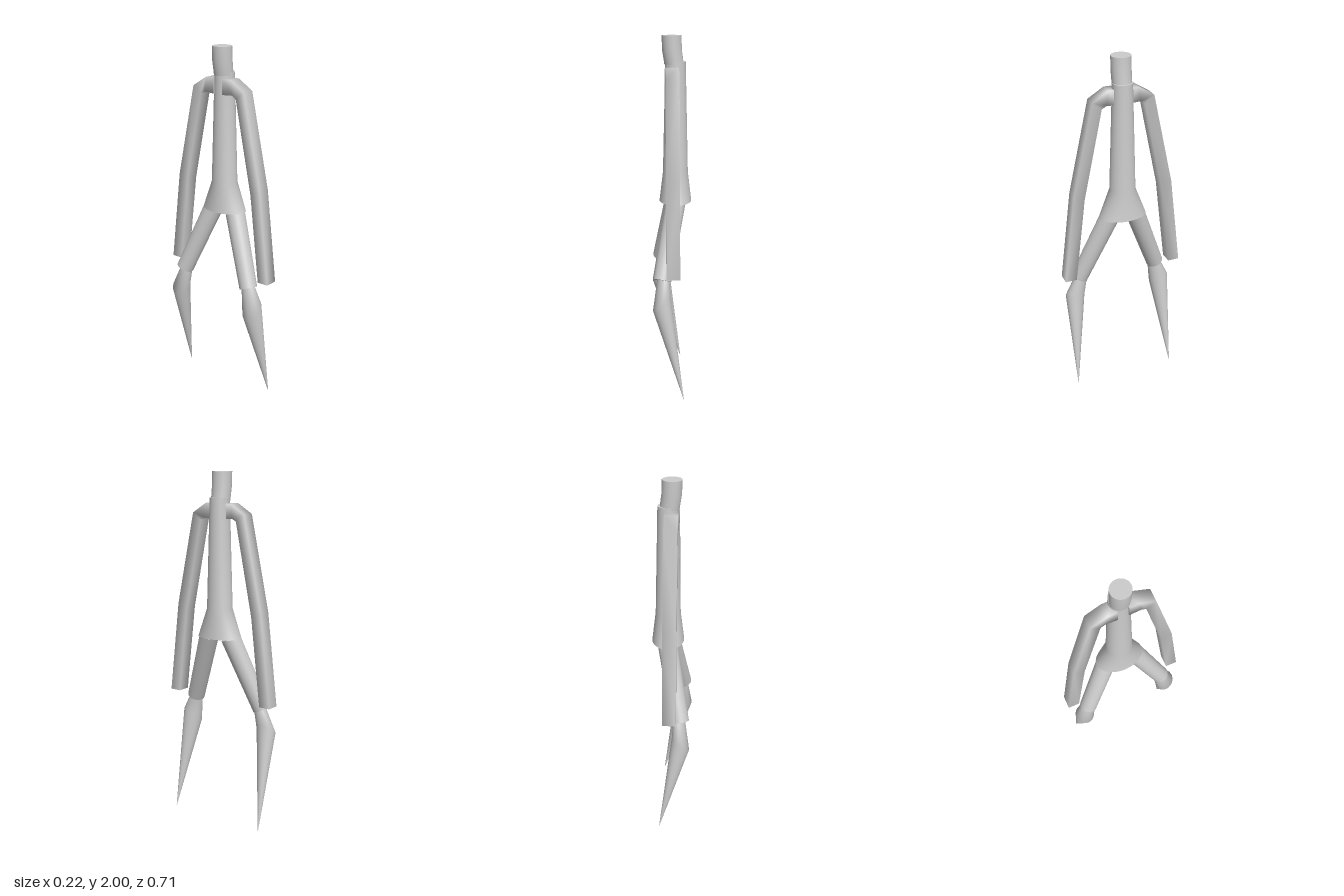
import * as THREE from 'three';

const material = new THREE.MeshStandardMaterial({ color: 0xcccccc, side: THREE.DoubleSide });
const V = (x, y, z) => new THREE.Vector3(x, y, z);

// Skin through rings {c, u, v}: each point is c + u cos(a) + v sin(a); both ends are capped flat.
function loft(name, rings, sides, startAngle = 0) {
  const pos = [], index = [];
  const addRing = ({ c, u, v }) => {
    const start = pos.length / 3;
    for (let i = 0; i < sides; i++) {
      const a = startAngle + (i / sides) * Math.PI * 2;
      const p = c.clone().addScaledVector(u, Math.cos(a)).addScaledVector(v, Math.sin(a));
      pos.push(p.x, p.y, p.z);
    }
    return start;
  };
  const starts = rings.map(addRing);
  // keep the outside facing out whichever way the rings run
  const along = rings[1].c.clone().sub(rings[0].c);
  const flip = rings[0].u.clone().cross(rings[0].v).dot(along) < 0;
  const tri = (a, b, c) => (flip ? index.push(a, c, b) : index.push(a, b, c));
  for (let r = 0; r < rings.length - 1; r++) {
    for (let i = 0; i < sides; i++) {
      const j = (i + 1) % sides, a = starts[r], b = starts[r + 1];
      tri(a + i, a + j, b + j);
      tri(a + i, b + j, b + i);
    }
  }
  const first = addRing(rings[0]), last = addRing(rings[rings.length - 1]);
  for (let i = 1; i < sides - 1; i++) {
    tri(first, first + i + 1, first + i);
    tri(last, last + i, last + i + 1);
  }
  const geometry = new THREE.BufferGeometry();
  geometry.setAttribute('position', new THREE.Float32BufferAttribute(pos, 3));
  geometry.setIndex(index);
  geometry.computeVertexNormals();
  const mesh = new THREE.Mesh(geometry, material);
  mesh.name = name;
  return mesh;
}

// Straight round limb between two points
function limb(name, from, to, r0, r1) {
  const mesh = new THREE.Mesh(new THREE.CylinderGeometry(r1, r0, from.distanceTo(to), 32), material);
  mesh.position.copy(from).lerp(to, 0.5);
  mesh.quaternion.setFromUnitVectors(V(0, 1, 0), to.clone().sub(from).normalize());
  mesh.name = name;
  return mesh;
}

// Level ellipse ring
const level = (x, y, rx, rz) => ({ c: V(x, y, 0), u: V(rx, 0, 0), v: V(0, 0, rz) });

// Square-section arm: each row is outer z, outer y, inner z, inner y
function arm(name, s) {
  const rows = [
    [0.03, 1.83, 0.03, 1.745],
    [0.085, 1.83, 0.095, 1.75],
    [0.175, 1.775, 0.122, 1.735],
    [0.29, 1.25, 0.228, 1.225],
    [0.353, 0.725, 0.287, 0.725],
  ];
  const k = Math.SQRT1_2;
  const rings = rows.map(([oz, oy, iz, iy]) => ({
    c: V(0, (oy + iy) / 2, (s * (oz + iz)) / 2),
    u: V(0.037 / k, 0, 0),
    v: V(0, (oy - iy) / 2 / k, (s * (oz - iz)) / 2 / k),
  }));
  return loft(name, rings, 4, Math.PI / 4);
}

// Lower leg: narrow knee, tilted calf ring, pointed foot
function shin(name, s) {
  return loft(name, [
    { c: V(-0.053, 0.695, s * 0.228), u: V(0.033, 0.01, 0), v: V(0, 0.01, s * 0.034) },
    { c: V(-0.062, 0.56, s * 0.268), u: V(0.049, 0.04, 0), v: V(0, 0.012, s * 0.056) },
    { c: V(0.06, 0, s * 0.303), u: V(0.001, 0, 0), v: V(0, 0, s * 0.001) },
  ], 24);
}

export function createModel() {
  const model = new THREE.Group();
  model.name = 'figure';

  // Head, leaning slightly
  model.add(loft('head', [
    level(0.012, 1.845, 0.053, 0.053),
    level(0.001, 1.92, 0.054, 0.055),
    level(-0.002, 2.0, 0.054, 0.055),
  ], 32));

  // Torso flaring out at the hips
  model.add(loft('torso', [
    level(0.02, 1.085, 0.09, 0.137),
    level(0.02, 1.25, 0.07, 0.073),
    level(0.02, 1.86, 0.056, 0.055),
  ], 40));

  // Paired limbs
  for (const [side, s] of [['front', 1], ['back', -1]]) {
    model.add(arm(side + 'Arm', s));
    model.add(limb(side + 'Thigh', V(0.02, 1.09, s * 0.075), V(-0.058, 0.685, s * 0.238), 0.055, 0.05));
    model.add(shin(side + 'Shin', s));
  }
  return model;
}
